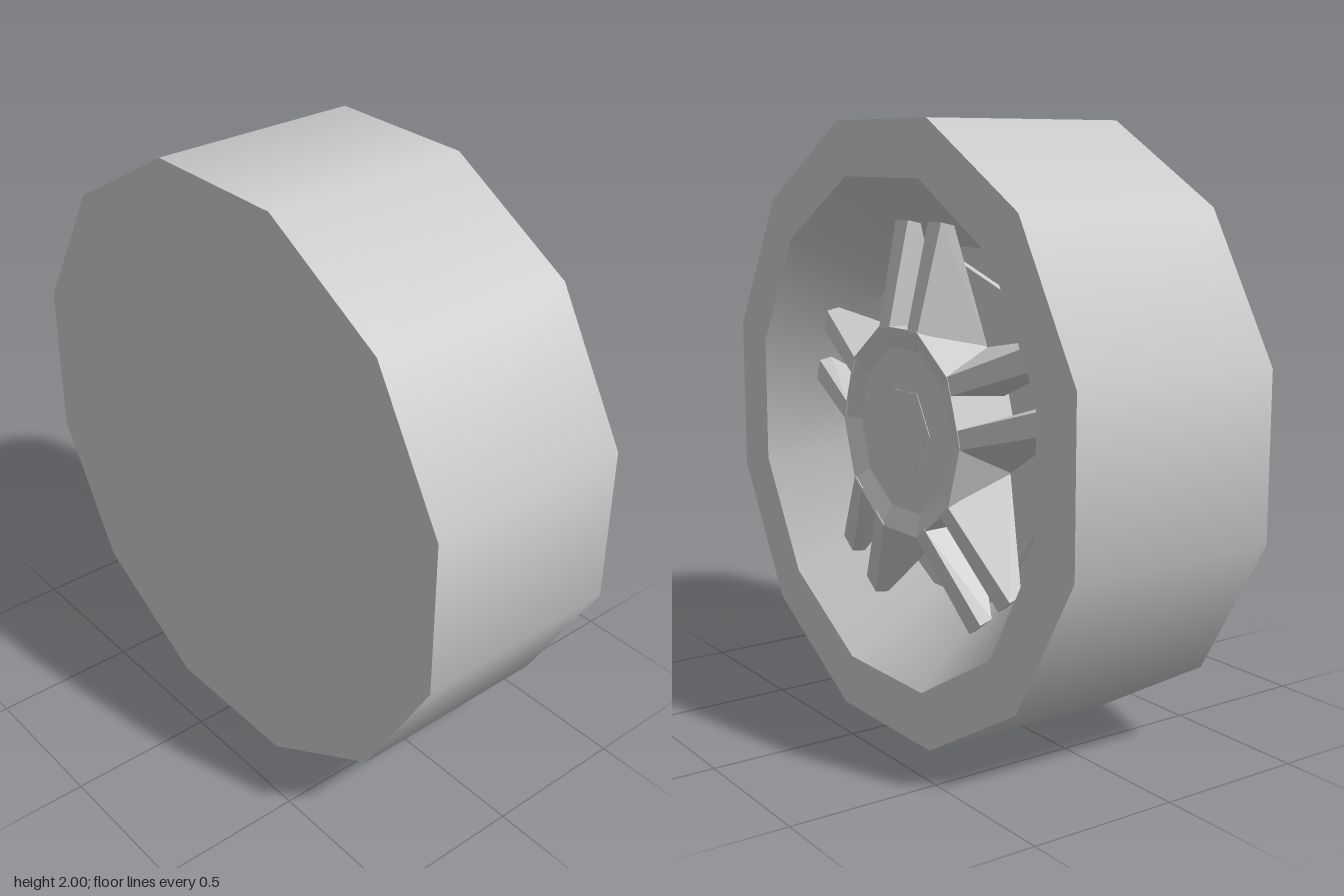
import * as THREE from 'three';
import { ConvexGeometry } from 'three/addons/geometries/ConvexGeometry.js';

const smooth = new THREE.MeshStandardMaterial({ color: 0xcccccc });
const faceted = new THREE.MeshStandardMaterial({ color: 0xcccccc, flatShading: true });

// Each profile segment [radius, x] is turned separately so its edges stay sharp.
function turned(name, profile, sides, startAngle, material) {
  const group = new THREE.Group();
  group.name = name;
  for (let i = 0; i < profile.length - 1; i++) {
    const pts = [profile[i], profile[i + 1]].map(([r, x]) => new THREE.Vector2(r, x));
    const mesh = new THREE.Mesh(new THREE.LatheGeometry(pts, sides, startAngle), material);
    mesh.name = name + 'Surface';
    group.add(mesh);
  }
  group.rotation.z = -Math.PI / 2; // turning axis becomes x
  return group;
}

// One tapered spoke pointing up; side is +1 or -1 in z.
function spoke(side) {
  const corners = [
    // root: front inner, front outer, back outer, back inner
    [0.31, 0.33, 0.055], [0.31, 0.33, 0.115], [0.1, 0.285, 0.205], [0.1, 0.3, 0.035],
    // tip
    [0.23, 0.68, 0.06], [0.23, 0.68, 0.135], [0.19, 0.67, 0.15], [0.19, 0.67, 0.045],
  ];
  const points = corners.map(([x, r, z]) => new THREE.Vector3(x, r, z * side));
  const mesh = new THREE.Mesh(new ConvexGeometry(points), faceted);
  mesh.name = 'spoke';
  return mesh;
}

export function createModel() {
  const wheel = new THREE.Group();
  wheel.name = 'wheel';
  const body = new THREE.Group();
  body.name = 'wheelBody';
  body.position.y = 1;
  wheel.add(body);

  // Tyre with closed back and a tapered bowl in front
  const k = 1 / Math.cos(Math.PI / 12);
  const tyre = [[0, -0.37], [k, -0.37], [k, 0.37], [0.82 * k, 0.37], [0.593 * k, 0.07], [0, 0.07]];
  body.add(turned('tyre', tyre, 12, Math.PI / 12, smooth));

  // Brake disc on the bowl floor
  body.add(turned('brakeDisc', [[0.555, 0.06], [0.555, 0.09], [0, 0.09]], 10, Math.PI / 10, faceted));

  // Caliper: a curved block over part of the disc
  const arc = new THREE.Shape();
  const a0 = THREE.MathUtils.degToRad(126);
  const a1 = THREE.MathUtils.degToRad(200);
  arc.absarc(0, 0, 0.57, a0, a1, false);
  arc.absarc(0, 0, 0.36, a1, a0, true);
  const caliper = new THREE.Mesh(
    new THREE.ExtrudeGeometry(arc, { depth: 0.055, bevelEnabled: false, curveSegments: 3 }), faceted);
  caliper.name = 'caliper';
  caliper.rotation.y = Math.PI / 2;
  caliper.position.x = 0.07;
  body.add(caliper);

  // Hub with a shallow dished face and a small centre cap
  body.add(turned('hub', [[0.355, 0.07], [0.355, 0.31], [0.28, 0.285], [0, 0.285]], 10, 0, faceted));
  body.add(turned('centreCap', [[0.15, 0.27], [0.15, 0.287], [0, 0.287]], 6, 0, faceted));

  // Five pairs of spokes
  for (let i = 0; i < 5; i++) {
    const pair = new THREE.Group();
    pair.name = 'spokePair';
    pair.add(spoke(1), spoke(-1));
    pair.rotation.x = (i * Math.PI * 2) / 5;
    body.add(pair);
  }
  return wheel;
}
